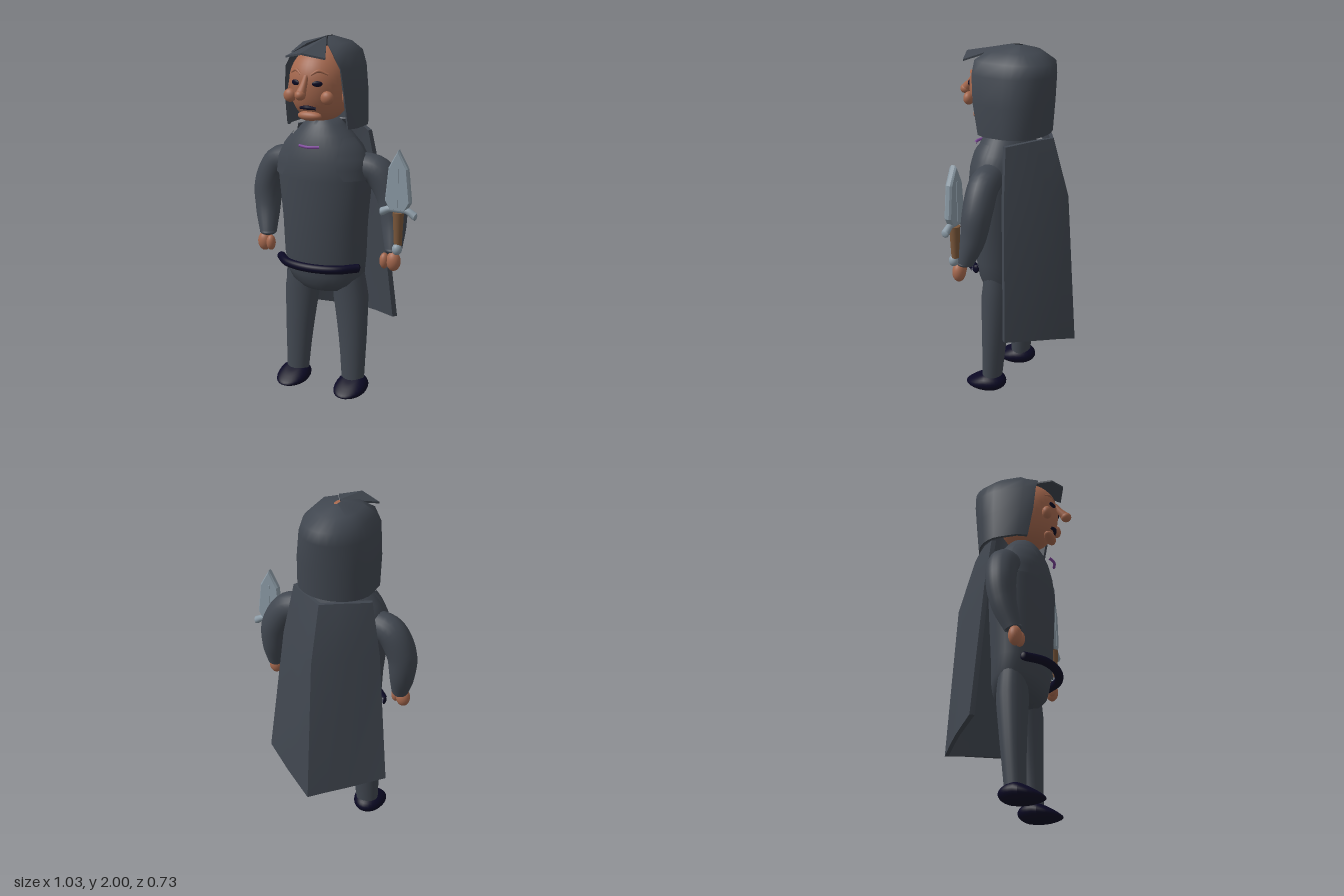
import * as THREE from 'three';
import { toCreasedNormals } from 'three/addons/utils/BufferGeometryUtils.js';

const mat = (name, color, side = THREE.FrontSide) => {
  const m = new THREE.MeshStandardMaterial({ color, side });
  m.name = name;
  return m;
};

// Skin a stack of equal-length closed rings, bottom to top
function loft(rings, caps = true) {
  const n = rings[0].length, idx = [];
  for (let r = 0; r < rings.length - 1; r++)
    for (let i = 0; i < n; i++) {
      const a = r * n + i, b = r * n + (i + 1) % n;
      idx.push(a, b, b + n, a, b + n, a + n);
    }
  if (caps) {
    const t = (rings.length - 1) * n;
    for (let i = 1; i < n - 1; i++) idx.push(0, i + 1, i, t, t + i, t + i + 1);
  }
  const g = new THREE.BufferGeometry();
  g.setAttribute('position', new THREE.Float32BufferAttribute(rings.flat(2), 3));
  g.setIndex(idx);
  g.computeVertexNormals();
  return g;
}

const sample = (list, u) => {
  const f = u * (list.length - 1), i = Math.min(Math.floor(f), list.length - 2);
  return THREE.MathUtils.lerp(list[i], list[i + 1], f - i);
};

// Tube whose radius follows a list of values along its path
function limb(points, radii, sides = 20) {
  const n = 24, curve = new THREE.CatmullRomCurve3(points.map(p => new THREE.Vector3(...p)));
  const g = new THREE.TubeGeometry(curve, n, 1, sides), pos = g.attributes.position;
  const v = new THREE.Vector3();
  for (let i = 0; i < pos.count; i++) {
    const u = Math.floor(i / (sides + 1)) / n, c = curve.getPointAt(u);
    v.fromBufferAttribute(pos, i).sub(c).multiplyScalar(sample(radii, u)).add(c);
    pos.setXYZ(i, v.x, v.y, v.z);
  }
  return g;
}

// Torso sections: height, half width, front z, back z
const TORSO = [[0.59, 0.08, 0.12, -0.02], [0.61, 0.15, 0.17, -0.07], [0.65, 0.205, 0.2, -0.085], [0.7, 0.23, 0.212, -0.09],
  [0.8, 0.243, 0.228, -0.09], [1, 0.25, 0.24, -0.1], [1.25, 0.275, 0.25, -0.11], [1.35, 0.262, 0.24, -0.1],
  [1.43, 0.22, 0.222, -0.08], [1.49, 0.165, 0.198, -0.05], [1.54, 0.115, 0.17, -0.02], [1.57, 0.08, 0.145, 0]];

function torsoAt(y) {
  let i = 0;
  while (i < TORSO.length - 2 && TORSO[i + 1][0] < y) i++;
  const a = TORSO[i], b = TORSO[i + 1], t = (y - a[0]) / (b[0] - a[0]);
  return a.map((v, k) => v + (b[k] - v) * t);
}

// Head breadth at a relative height: domed above, squarer at the jaw
const headWidth = v => Math.pow(Math.max(0, 1 - v * v), v < 0 ? 0.37 : 0.5);
const headHeight = v => v < 0 ? 0.208 : 0.188;
function facePoint(x, y, out = 0) {
  const v = (y - 1.77) / headHeight(y - 1.77);
  return [x, y, 0.11 + 0.175 * Math.sqrt(Math.max(0, headWidth(v) ** 2 - (x / 0.168) ** 2)) + out];
}

export function createModel() {
  const cloth = mat('charcoal cloth', 0x40464f, THREE.DoubleSide);
  const skin = mat('skin', 0xa5684e);
  const navy = mat('dark navy', 0x0a0823);
  const steel = mat('steel', 0x8a99a4);
  const wood = mat('brown grip', 0x79563a);
  const purple = mat('purple trim', 0x7c4499);

  const model = new THREE.Group(), body = new THREE.Group();
  model.name = 'cloakedFigure';
  body.name = 'body';
  body.position.x = -0.062;
  model.add(body);
  const add = (name, geo, material, pos = [0, 0, 0], scale = [1, 1, 1]) => {
    const m = new THREE.Mesh(geo, material);
    m.name = name;
    m.position.set(...pos);
    m.scale.set(...scale);
    body.add(m);
    return m;
  };
  const ball = (name, material, pos, scale) => add(name, new THREE.SphereGeometry(1, 24, 16), material, pos, scale);

  // Torso
  add('torso', loft(TORSO.map(([y, w, f, b]) => Array.from({ length: 36 }, (_, i) => {
    const a = i / 36 * Math.PI * 2;
    return [w * Math.sin(a), y, (f + b) / 2 + (f - b) / 2 * Math.cos(a)];
  }))), cloth);

  // Belt bowed around the front, collar trim
  add('belt', limb([[-0.243, 0.768, 0.145], [-0.15, 0.768, 0.232], [0, 0.768, 0.266], [0.15, 0.768, 0.232], [0.243, 0.768, 0.145]], [0.024, 0.024]), navy);
  for (const s of [-1, 1]) ball('beltEnd', navy, [s * 0.242, 0.768, 0.146], [0.01, 0.024, 0.02]);
  add('collarTrim', limb([[-0.06, 1.439, 0.245], [0, 1.437, 0.26], [0.06, 1.439, 0.245]], [0.008, 0.008], 8), purple);

  for (const s of [-1, 1]) {
    // Shoulder patch following the torso
    const patch = new THREE.PlaneGeometry(1, 1, 10, 8), p = patch.attributes.position;
    for (let i = 0; i < p.count; i++) {
      const y = 1.26 + (p.getY(i) + 0.5) * 0.22, [, w, f, b] = torsoAt(y);
      const inner = y < 1.32 ? 0.18 - (y - 1.26) * 0.65 : 0.14;
      const a0 = Math.asin(Math.min(0.8, inner / w));
      const a = a0 + (p.getX(i) + 0.5) * (1.5 - a0);
      p.setXYZ(i, s * (w + 0.012) * Math.sin(a), y, (f + b) / 2 + ((f - b) / 2 + 0.012) * Math.cos(a));
    }
    if (s < 0) patch.setIndex(Array.from(patch.index.array).reverse());
    patch.computeVertexNormals();
    add('shoulderPatch', patch, cloth);

    // Leg
    add('leg', limb([[s * 0.135, 0.74, 0.07], [s * 0.152, 0.6, 0.07], [s * 0.17, 0.35, 0.08], [s * 0.18, 0.06, 0.097]],
      [0.09, 0.102, 0.088, 0.075, 0.065]), cloth).scale.z = 0.84;

    // Shoe with a flat sole and a sloping toe
    const shoe = new THREE.SphereGeometry(1, 28, 18), q = shoe.attributes.position;
    for (let i = 0; i < q.count; i++) {
      const z = q.getZ(i), h = z < -0.2 ? 0.104 : 0.104 - 0.06 * (z + 0.2) / 1.2;
      const y = Math.max(-0.8, Math.min(0.9, q.getY(i)));
      q.setXYZ(i, q.getX(i) * 0.093, (y + 0.8) / 1.7 * h, z * 0.123);
    }
    shoe.computeVertexNormals();
    add('shoe', shoe, navy, [s * 0.186, 0, 0.117]);
  }

  // Arms and fists
  const armRadii = [0.078, 0.084, 0.084, 0.078, 0.066, 0.047];
  add('rightArm', limb([[-0.2, 1.32, 0.06], [-0.3, 1.295, 0.05], [-0.367, 1.17, 0.055], [-0.37, 1.03, 0.07], [-0.345, 0.885, 0.115]], armRadii), cloth);
  add('leftArm', limb([[0.2, 1.32, 0.06], [0.31, 1.295, 0.05], [0.39, 1.17, 0.045], [0.413, 1.03, 0.06], [0.43, 0.89, 0.1]], armRadii), cloth);
  for (const [x, z, s, n] of [[-0.345, 0.115, 1, 'right'], [0.43, 0.1, -1, 'left']]) {
    ball(n + 'Wrist', cloth, [x, 0.888, z], [0.045, 0.018, 0.045]);
    ball(n + 'Palm', skin, [x - s * 0.015, 0.835, 0.13], [0.04, 0.054, 0.036]);
    ball(n + 'Thumb', skin, [x + s * 0.033, 0.835, 0.142], [0.026, 0.044, 0.028]);
  }

  // Head
  const head = new THREE.SphereGeometry(1, 36, 28), hp = head.attributes.position;
  for (let i = 0; i < hp.count; i++) {
    const v = hp.getY(i), k = headWidth(v) / Math.max(1e-4, Math.sqrt(Math.max(0, 1 - v * v)));
    hp.setXYZ(i, hp.getX(i) * k * 0.168, v * headHeight(v), hp.getZ(i) * k * 0.175);
  }
  head.computeVertexNormals();
  add('head', head, skin, [0, 1.77, 0.11]);
  add('nose', limb([[0, 1.815, 0.272], [0, 1.77, 0.3], [0, 1.725, 0.335]], [0.014, 0.019, 0.028], 14), skin);
  ball('noseTip', skin, [0, 1.724, 0.336], [0.029, 0.027, 0.03]);
  ball('chin', skin, [0, 1.602, 0.238], [0.07, 0.026, 0.032]);
  add('mouth', limb([facePoint(-0.047, 1.644, 0.004), facePoint(0, 1.65, 0.006), facePoint(0.047, 1.644, 0.004)], [0.007, 0.012, 0.007], 10), navy);
  for (const s of [-1, 1]) {
    const eye = ball('eye', navy, facePoint(s * 0.065, 1.778), [0.028, 0.015, 0.008]);
    eye.rotation.y = s * 0.4;
    add('eyebrow', limb([facePoint(s * 0.03, 1.822), facePoint(s * 0.065, 1.842), facePoint(s * 0.108, 1.825)], [0.005, 0.009, 0.005], 10), skin);
    ball('cheek', skin, [s * 0.111, 1.705, 0.25], [0.036, 0.036, 0.028]);
    ball('ear', skin, [s * 0.168, 1.71, 0.15], [0.018, 0.05, 0.03]);
  }

  // Hood open at the front: height, half width, front edge x, front z, back z
  const hood = [[1.53, 0.21, 0.185, 0.155, -0.175], [1.7, 0.208, 0.18, 0.187, -0.19], [1.85, 0.19, 0.165, 0.2, -0.203],
    [1.92, 0.165, 0.125, 0.205, -0.203], [1.97, 0.115, 0.06, 0.15, -0.12], [2, 0.012, 0.004, 0.04, -0.02]].map(([y, w, e, f, b]) => {
    const outer = [[e, y, f], [w, y, f * 0.65]];
    for (let i = 0; i <= 14; i++) {
      const a = Math.PI * (0.5 + i / 14);
      outer.push([w * Math.sin(a), y, -b * Math.cos(a)]);
    }
    outer.push([-w, y, f * 0.65], [-e, y, f]);
    const inner = outer.map(([x, yy, z]) => [x * 0.93, yy - 0.002, z * 0.95]).reverse();
    return [...outer, ...inner];
  });
  add('hood', toCreasedNormals(loft(hood, false), 1.1), cloth);
  // Bottom rim of the hood
  const half = hood[0].length / 2, rim = [];
  for (let i = 0; i < half; i++) rim.push([hood[0][i], hood[0][half * 2 - 1 - i]]);
  const rimGeo = new THREE.BufferGeometry();
  rimGeo.setAttribute('position', new THREE.Float32BufferAttribute(rim.flat(2), 3));
  rimGeo.setIndex(rim.slice(1).flatMap((_, i) => [i * 2, i * 2 + 1, i * 2 + 3, i * 2, i * 2 + 3, i * 2 + 2]));
  rimGeo.computeVertexNormals();
  add('hoodRim', rimGeo, cloth);

  // Peaked brow flap
  const flapRing = d => [[0, 1.999 - d, 0.045], [-0.117, 1.914 - d, 0.28], [0, 1.938 - d, 0.323], [0.117, 1.914 - d, 0.28]];
  add('browFlap', toCreasedNormals(loft([flapRing(0.01), flapRing(0)]), 0.3), cloth);

  // Cape: two panels meeting at a centre ridge, rows run from ridge to front edge
  const cape = [
    [[0, 0.345, -0.36], [0.095, 0.37, -0.3], [0.19, 0.39, -0.237], [0.367, 0.425, -0.105]],
    [[0, 1.2, -0.302], [0.095, 1.2, -0.235], [0.18, 1.2, -0.165], [0.288, 1.2, -0.06]],
    [[0, 1.515, -0.208], [0.095, 1.515, -0.148], [0.165, 1.51, -0.1], [0.23, 1.5, -0.04]],
  ].map(row => {
    const outer = [...row.slice().reverse(), ...row.slice(1).map(([x, y, z]) => [-x, y, z])];
    return [...outer, ...outer.map(([x, y, z]) => [x * 0.95, y, z + 0.022]).reverse()];
  });
  const capeGeo = loft(cape, false);
  const capeIdx = Array.from(capeGeo.index.array), cn = cape[0].length;
  for (let i = 0; i < cn / 2 - 1; i++) {
    const t = 2 * cn, j = cn - 1 - i;
    capeIdx.push(i, j, j - 1, i, j - 1, i + 1, t + i, t + j - 1, t + j, t + i, t + i + 1, t + j - 1);
  }
  capeGeo.setIndex(capeIdx);
  add('cape', toCreasedNormals(capeGeo, 0.5), cloth);

  // Sword
  const sx = 0.472, sz = 0.135;
  ball('pommel', steel, [sx, 0.91, sz + 0.01], [0.027, 0.032, 0.027]);
  add('grip', new THREE.CylinderGeometry(0.03, 0.021, 0.18, 16), wood, [sx, 1.02, sz]);
  add('crossguard', limb([[sx - 0.095, 1.105, sz], [sx - 0.05, 1.125, sz], [sx, 1.128, sz], [sx + 0.05, 1.125, sz], [sx + 0.095, 1.1, sz]],
    [0.022, 0.018, 0.02, 0.018, 0.022], 14), steel);
  for (const [s, y] of [[-1, 1.105], [1, 1.1]]) ball('guardEnd', steel, [sx + s * 0.095, y, sz], [0.01, 0.022, 0.022]);
  const blade = new THREE.Shape([[-0.045, 1.12], [0.045, 1.12], [0.074, 1.17], [0.055, 1.35], [0, 1.447], [-0.055, 1.35], [-0.074, 1.17]]
    .map(([x, y]) => new THREE.Vector2(x, y)));
  add('blade', new THREE.ExtrudeGeometry(blade, { depth: 0.02, bevelEnabled: true, bevelThickness: 0.01, bevelSize: 0.008, bevelOffset: -0.008, bevelSegments: 1 }),
    steel, [sx, 0, sz - 0.01]);
  add('bladeRidge', new THREE.BoxGeometry(0.012, 0.22, 0.046), steel, [sx, 1.25, sz]);

  return model;
}
